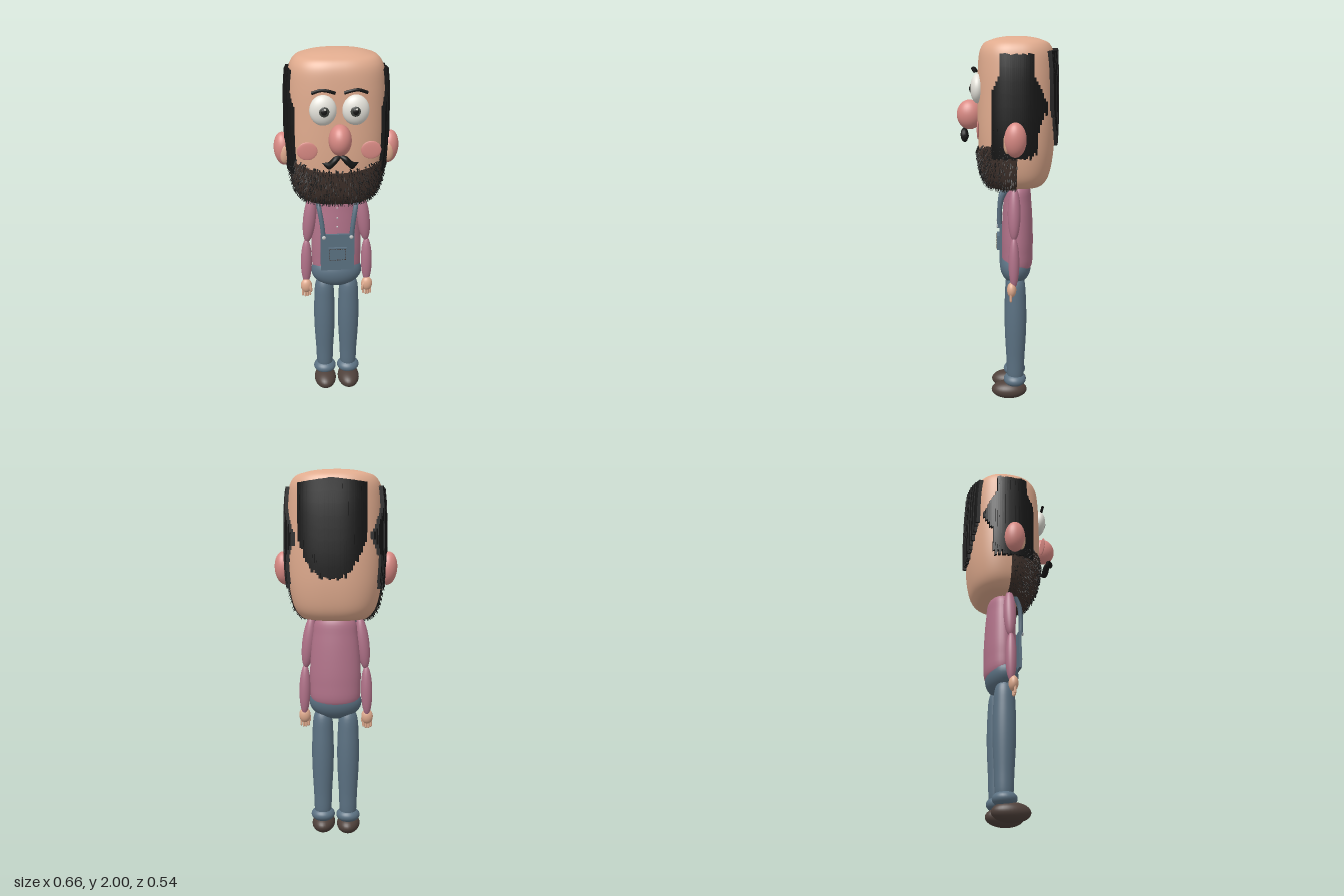
import * as THREE from 'three';
import { mergeGeometries } from 'three/addons/utils/BufferGeometryUtils.js';

const material = (name, color, side = THREE.FrontSide) => {
  const m = new THREE.MeshStandardMaterial({ color, side });
  m.name = name;
  return m;
};

// Head cross-section: a rounded box whose size follows a height profile
const HEAD = { a: 0.252, b: 0.204, z: -0.047, n: 2.5 };
const headProfile = new THREE.CatmullRomCurve3([
  [0, 1.215], [0.5, 1.218], [0.72, 1.235], [0.87, 1.29], [0.96, 1.39], [1, 1.52], [1, 1.7],
  [0.985, 1.83], [0.95, 1.91], [0.86, 1.955], [0.65, 1.98], [0.35, 1.995], [0, 2],
].map(([s, y]) => new THREE.Vector3(s, y, 0)), false, 'centripetal').getPoints(72);

function headScale(y) {
  const i = headProfile.findIndex((p) => p.y > y);
  if (i < 1) return 0;
  const p = headProfile[i - 1], q = headProfile[i];
  return p.x + (q.x - p.x) * (y - p.y) / (q.y - p.y);
}
const power = (v, e) => Math.sign(v) * Math.abs(v) ** e;
function headPoint(y, angle, s = headScale(y)) {
  return [HEAD.a * s * power(Math.cos(angle), 2 / HEAD.n), y,
    HEAD.z + HEAD.b * s * power(Math.sin(angle), 2 / HEAD.n)];
}
// Half extent of the head at height y, for offset d along the other axis
function headExtent(y, d, along, across) {
  const s = headScale(y);
  return along * s * Math.max(0, 1 - Math.abs(d / (across * s)) ** HEAD.n) ** (1 / HEAD.n);
}

// Surface from rows and columns of points
function grid(rows, cols, point, closed) {
  const pos = [], idx = [], w = closed ? cols : cols + 1;
  for (let i = 0; i <= rows; i++) for (let j = 0; j < w; j++) pos.push(...point(i, j));
  for (let i = 0; i < rows; i++) for (let j = 0; j < cols; j++) {
    const a = i * w + j, b = i * w + (j + 1) % w, c = a + w, d = b + w;
    idx.push(a, c, b, b, c, d);
  }
  const g = new THREE.BufferGeometry();
  g.setAttribute('position', new THREE.Float32BufferAttribute(pos, 3));
  g.setIndex(idx);
  g.computeVertexNormals();
  return g;
}

export function createModel() {
  const model = new THREE.Group();
  model.name = 'beardedMan';
  const skin = material('skin', 0xe0ab8e);
  const pink = material('pink', 0xd98a84);
  const white = material('eyeWhite', 0xe6e4dc);
  const black = material('blackHair', 0x161616, THREE.DoubleSide);
  const irisGrey = material('irisGrey', 0x3c3f3a);
  const brown = material('beardBrown', 0x40322c, THREE.DoubleSide);
  const shirt = material('shirtMauve', 0xb2738a);
  const denim = material('denim', 0x5b7182);
  const leather = material('shoeBrown', 0x4f413b);
  const metal = material('buttonMetal', 0xc4c6c6);

  let seed = 7;
  const rand = () => (seed = (seed * 16807) % 2147483647) / 2147483647;

  const add = (name, geo, mat, pos = [0, 0, 0]) => {
    const m = new THREE.Mesh(geo, mat);
    m.name = name;
    m.position.set(...pos);
    model.add(m);
    return m;
  };
  const ball = (name, mat, pos, size, tilt = 0) => {
    const m = add(name, new THREE.SphereGeometry(1, 32, 20), mat, pos);
    m.scale.set(...size);
    m.rotation.z = tilt;
    return m;
  };
  const lathe = (name, mat, points, pos, depth) => {
    const curve = new THREE.SplineCurve(points.map((p) => new THREE.Vector2(...p)));
    const pts = curve.getPoints(30).map((p) => new THREE.Vector2(Math.max(0, p.x), p.y));
    add(name, new THREE.LatheGeometry(pts, 36), mat, pos).scale.z = depth;
  };

  // Head
  add('head', grid(headProfile.length - 1, 72, (i, j) =>
    headPoint(headProfile[i].y, j / 72 * Math.PI * 2, headProfile[i].x), true), skin);

  // Beard base wrapped round the jaw, then bristles
  const beardTop = (a) => 1.42 + 0.05 * Math.abs(Math.cos(a)) ** 1.5;
  const beardPoint = (t, a) => {
    const y = 1.2155 + (beardTop(a) - 1.2155) * t;
    const p = headPoint(y, a);
    return [p[0] * 1.04, y - 0.006, HEAD.z + (p[2] - HEAD.z) * 1.06];
  };
  add('beard', grid(24, 48, (i, j) => beardPoint((i / 24) ** 1.5, j / 48 * Math.PI), false), brown);
  const bristles = [], up = new THREE.Vector3(0, 1, 0);
  for (let k = 0; k < 1100; k++) {
    const a = rand() * Math.PI;
    const p = new THREE.Vector3(...beardPoint(0.02 + 0.98 * rand(), a));
    const dir = new THREE.Vector3(p.x * 2.5 + (rand() - 0.5) * 0.5, -1, (p.z - HEAD.z) * 2.5).normalize();
    const g = new THREE.ConeGeometry(0.0042, 0.036, 4, 1, true);
    g.applyQuaternion(new THREE.Quaternion().setFromUnitVectors(up, dir));
    bristles.push(g.translate(p.x, p.y, p.z));
  }
  add('beardBristles', mergeGeometries(bristles), black);

  // Hair: vertical strands laid on the sides and the back
  const strand = (y0, y1, place) => {
    const g = new THREE.BoxGeometry(0.0115, y1 - y0, 0.022, 1, 8, 1);
    const p = g.attributes.position;
    for (let i = 0; i < p.count; i++) {
      p.setXYZ(i, ...place(p.getX(i), p.getY(i) + (y0 + y1) / 2, p.getZ(i) + 0.003));
    }
    g.computeVertexNormals();
    return g;
  };
  for (const s of [-1, 1]) {
    const strands = [];
    for (let z = 0.075; z > -0.2; z -= 0.01) {
      const top = z > 0.035 ? 1.82 - (z - 0.035) * 2 : z > -0.13 ? 1.91 : 1.81 + (z + 0.13) * 2;
      const bottom = z > -0.15 ? 1.385 : 1.5 - (z + 0.15) * 2;
      const lift = 0.008 * rand();
      strands.push(strand(bottom + rand() * (z < -0.1 ? 0.05 : 0.01), top - rand() * 0.01, (u, y, v) =>
        [s * (headExtent(y, z + u - HEAD.z, HEAD.a, HEAD.b) + v + lift), y, z + u]));
    }
    add('sideHair', mergeGeometries(strands), black);
  }
  const backStrands = [];
  for (let x = -0.17; x <= 0.171; x += 0.01) {
    const lift = 0.006 * rand(), t = Math.abs(x) / 0.17;
    backStrands.push(strand(1.42 + 0.2 * t ** 2.5 + rand() * 0.03, 1.94 - 0.02 * t, (u, y, v) =>
      [x + u, y, HEAD.z - headExtent(Math.min(y, 1.9), x + u, HEAD.b, HEAD.a) - v - lift]));
  }
  add('backHair', mergeGeometries(backStrands), black);

  // Nose and torso
  ball('nose', pink, [0, 1.598, 0.2], [0.057, 0.078, 0.068]);
  lathe('shirt', shirt, [[0, 0.72], [0.12, 0.76], [0.138, 0.87], [0.135, 1], [0.122, 1.13], [0.1, 1.22], [0, 1.27]],
    [0, 0, -0.055], 0.62);
  ball('trouserSeat', denim, [0, 0.767, -0.045], [0.143, 0.098, 0.086]);

  // Bib with stitched pocket, and shirt buttons
  add('bib', new THREE.BoxGeometry(0.185, 0.215, 0.014), denim, [0, 0.912, 0.037]);
  add('pocket', new THREE.BoxGeometry(0.1, 0.08, 0.014), denim, [0, 0.905, 0.05]);
  for (let k = -3; k <= 3; k++) {
    for (const y of [0.873, 0.937]) add('stitch', new THREE.BoxGeometry(0.007, 0.003, 0.004), brown, [k * 0.013, y, 0.057]);
    for (const x of [-0.043, 0.043]) add('stitch', new THREE.BoxGeometry(0.003, 0.006, 0.004), brown, [x, 0.905 + k * 0.01, 0.057]);
  }
  for (const [y, z] of [[1.06, 0.029], [1.11, 0.024], [1.165, 0.016]]) ball('shirtButton', metal, [0, y, z], [0.005, 0.005, 0.004]);

  for (const s of [-1, 1]) {
    // Ears
    ball('ear', pink, [s * 0.278, 1.49, -0.038], [0.05, 0.088, 0.056], s * -0.08);
    ball('innerEar', skin, [s * 0.272, 1.475, 0.002], [0.026, 0.055, 0.02]);
    // Eyes and brows
    ball('eye', white, [s * 0.08, 1.735, 0.153], [0.067, 0.075, 0.039]);
    ball('iris', irisGrey, [s * 0.077, 1.735, 0.185], [0.027, 0.028, 0.01]);
    ball('pupil', black, [s * 0.077, 1.735, 0.19], [0.016, 0.017, 0.0075]);
    ball('eyeHighlight', white, [s * 0.077 + 0.005, 1.747, 0.195], [0.005, 0.005, 0.003]);
    const brow = new THREE.CatmullRomCurve3([[0.022, 1.822, 0.172], [0.055, 1.833, 0.178], [0.09, 1.837, 0.176], [0.135, 1.822, 0.167]]
      .map(([x, y, z]) => new THREE.Vector3(s * x, y, z)));
    add('eyebrow', new THREE.TubeGeometry(brow, 16, 0.008, 8), black);
    // Cheek and moustache half
    ball('cheek', pink, [s * 0.16, 1.53, 0.151], [0.051, 0.046, 0.006]);
    const whisker = new THREE.CatmullRomCurve3([[0, 1.522, 0.228], [0.03, 1.502, 0.229], [0.06, 1.477, 0.224], [0.09, 1.488, 0.213]]
      .map((p) => new THREE.Vector3(...p)));
    add('moustache', grid(20, 12, (i, j) => {
      const t = i / 20, p = whisker.getPoint(t), r = 0.006 + 0.02 * Math.sin(Math.PI * t ** 0.9) - 0.005 * t;
      const a = j / 12 * Math.PI * 2;
      return [s * p.x, p.y + r * Math.cos(a), p.z + r * 0.8 * Math.sin(a)];
    }, true), black);

    // Shoulder straps and fasteners
    const strap = new THREE.CatmullRomCurve3([[0.076, 1, 0.042], [0.085, 1.09, 0.042], [0.098, 1.17, 0.028], [0.108, 1.23, -0.012], [0.1, 1.25, -0.05]]
      .map(([x, y, z]) => new THREE.Vector3(s * x, y, z)));
    add('strap', new THREE.TubeGeometry(strap, 24, 0.013, 10), denim);
    ball('strapButton', metal, [s * 0.075, 1.008, 0.054], [0.011, 0.011, 0.006]);

    // Arms and hands
    ball('upperArm', shirt, [s * 0.147, 1.09, -0.035], [0.036, 0.145, 0.034], s * 0.12);
    ball('forearm', shirt, [s * 0.17, 0.825, -0.034], [0.031, 0.14, 0.029], s * 0.02);
    ball('palm', skin, [s * 0.173, 0.678, -0.022], [0.032, 0.042, 0.025]);
    for (let f = 0; f < 4; f++) {
      add('finger', new THREE.CapsuleGeometry(0.0065, 0.035, 4, 8), skin,
        [s * (0.153 + f * 0.0135), 0.64 - (f % 3 ? 0.007 : 0), -0.018]);
    }
    ball('thumb', skin, [s * 0.15, 0.668, -0.01], [0.009, 0.028, 0.01], s * -0.2);

    // Legs, cuffs and shoes
    lathe('leg', denim, [[0, 0.1], [0.042, 0.12], [0.051, 0.25], [0.06, 0.43], [0.058, 0.58], [0.047, 0.69], [0, 0.75]],
      [s * 0.07, 0, -0.045], 1);
    ball('cuff', denim, [s * 0.07, 0.113, -0.042], [0.066, 0.04, 0.063]);
    ball('shoe', leather, [s * 0.07, 0.05, -0.01], [0.064, 0.05, 0.1]);
  }
  return model;
}
